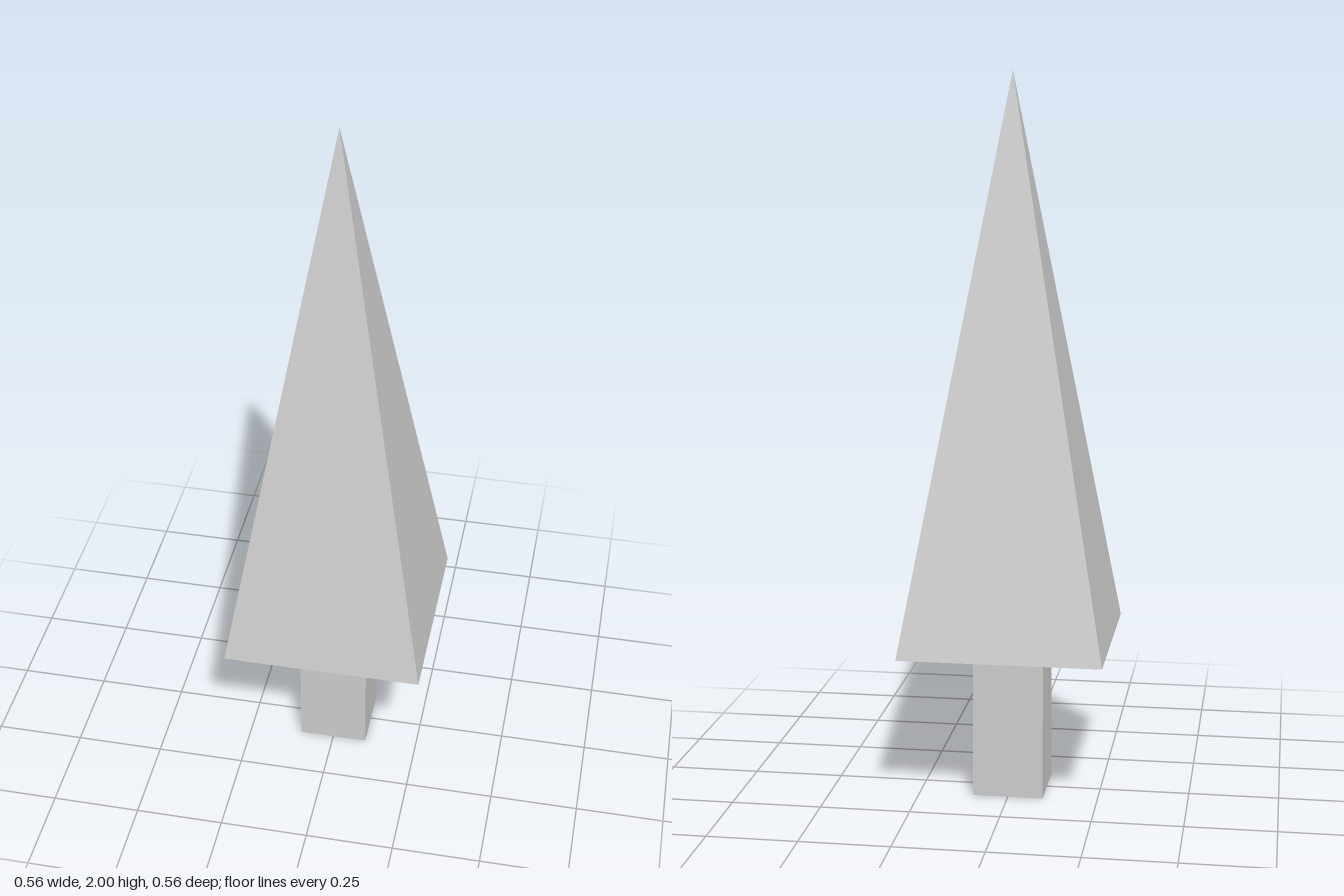
import * as THREE from 'three';

const TRUNK_HALF = 0.098;   // half width of the square trunk
const CROWN_HALF = 0.279;   // half width of the crown's square base
const CROWN_BASE = 0.437;   // height where trunk meets crown
const HEIGHT = 2;

// Four-sided prism or pyramid with its flat sides facing x and z
function squareTaper(topHalf, bottomHalf, y0, y1, open) {
  const geometry = new THREE.CylinderGeometry(
    topHalf * Math.SQRT2, bottomHalf * Math.SQRT2, y1 - y0, 4, 1, open);
  return geometry.rotateY(Math.PI / 4).translate(0, (y0 + y1) / 2, 0);
}

export function createModel() {
  const tree = new THREE.Group();
  tree.name = 'tree';

  const add = (name, geometry, side) => {
    const material = new THREE.MeshStandardMaterial({ color: 0xcccccc, flatShading: true, side });
    const mesh = new THREE.Mesh(geometry, material);
    mesh.name = name;
    tree.add(mesh);
  };

  // Hollow trunk, open at the bottom
  add('trunk', squareTaper(TRUNK_HALF, TRUNK_HALF, 0, CROWN_BASE, true), THREE.DoubleSide);

  // Pyramid crown with a closed underside
  add('crown', squareTaper(0, CROWN_HALF, CROWN_BASE, HEIGHT, false), THREE.FrontSide);

  return tree;
}
